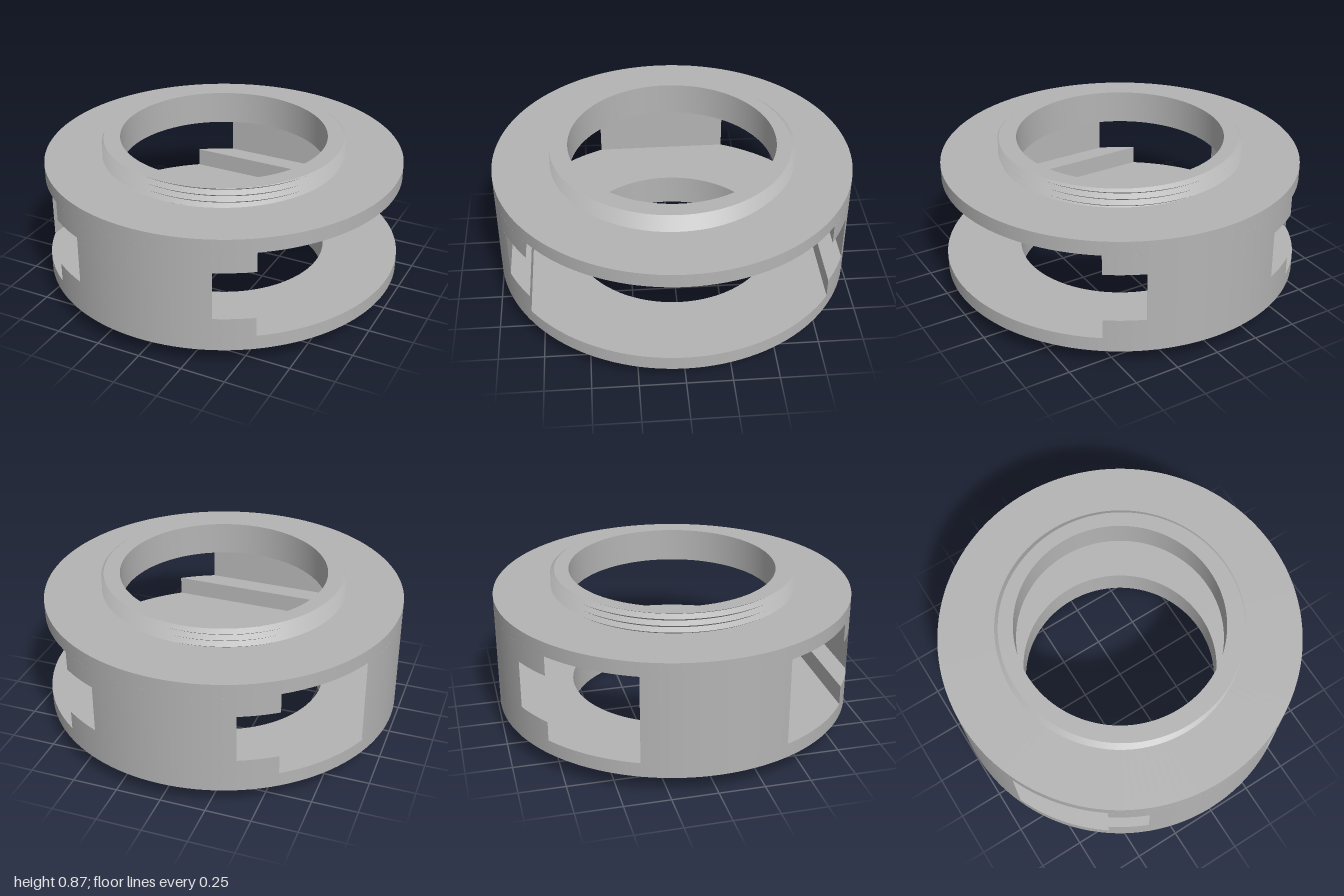
import * as THREE from 'three';
import { toCreasedNormals } from 'three/addons/utils/BufferGeometryUtils.js';

const SEG = 128;
const OUTER = 1, BORE = 0.577, ROOT = 0.653, CREST = 0.68;
const PITCH = 0.037;

// Flange and bore: a revolved profile, smooth around and sharp at the rims
function flange(points) {
  const profile = points.map(([r, y]) => new THREE.Vector2(r, y));
  return toCreasedNormals(new THREE.LatheGeometry(profile, SEG), 0.5);
}

// Circle segment beyond a straight chord, extruded upward, centred on +x
function wallSegment(chord, y0, y1) {
  const a = Math.acos(chord / OUTER);
  const shape = new THREE.Shape();
  shape.absarc(0, 0, OUTER, -a, a, false);
  shape.closePath();
  const geo = new THREE.ExtrudeGeometry(shape, { depth: y1 - y0, bevelEnabled: false, curveSegments: 40 });
  geo.rotateX(-Math.PI / 2).translate(0, y0, 0);
  return toCreasedNormals(geo, 0.5);
}

// Helical V thread between y0 and y1, closed by a flat end ring down to the bore
function thread(y0, y1, crestY, capAtTop) {
  const rows = [];
  for (let k = -10; k <= 4; k++) {
    rows.push((turn) => {
      const y = THREE.MathUtils.clamp(crestY + PITCH * (turn + k / 2), y0, y1);
      const t = (y - crestY) / PITCH - turn;
      const r = ROOT + (CREST - ROOT) * Math.abs(1 - 2 * (t - Math.floor(t)));
      return [r, y];
    });
  }
  if (capAtTop) rows.push(() => [BORE, y1]);
  else rows.unshift(() => [BORE, y0]);

  const pos = [], index = [], n = rows.length;
  for (let i = 0; i <= SEG; i++) {
    const angle = (i / SEG) * Math.PI * 2;
    rows.forEach((row, k) => {
      const [r, y] = row(i / SEG);
      pos.push(r * Math.cos(angle), y, r * Math.sin(angle));
      if (i < SEG && k < n - 1) {
        const a = i * n + k, b = a + n;
        index.push(a, a + 1, b, b, a + 1, b + 1);
      }
    });
  }
  const geo = new THREE.BufferGeometry();
  geo.setAttribute('position', new THREE.Float32BufferAttribute(pos, 3));
  geo.setIndex(index);
  return toCreasedNormals(geo, 0.5);
}

export function createModel() {
  const grey = new THREE.MeshStandardMaterial({ color: 0xb4b4b4 });
  grey.name = 'grey metal';
  const model = new THREE.Group();
  model.name = 'threadedRingHousing';

  const add = (name, geo, turn = 0, parent = model) => {
    const mesh = new THREE.Mesh(geo, grey);
    mesh.name = name;
    mesh.rotation.y = turn;
    parent.add(mesh);
  };

  // Two flanges with the bore running through their collars
  add('lowerFlange', flange([[ROOT, 0.11], [OUTER, 0.11], [OUTER, 0.19], [BORE, 0.19], [BORE, 0]]));
  add('upperFlange', flange([[BORE, 0.87], [BORE, 0.68], [OUTER, 0.68], [OUTER, 0.76], [ROOT, 0.76]]));

  // Threaded collars
  add('lowerThread', thread(0, 0.11, 0.0775, false));
  add('upperThread', thread(0.76, 0.87, 0.863, true));

  // Front and back walls: thick steps above and below a thinner middle
  for (const [side, turn] of [['front', -Math.PI / 2], ['back', Math.PI / 2]]) {
    const wall = new THREE.Group();
    wall.name = side + 'Wall';
    add(side + 'LowerStep', wallSegment(0.81, 0.19, 0.3), turn, wall);
    add(side + 'Middle', wallSegment(0.92, 0.3, 0.57), turn, wall);
    add(side + 'UpperStep', wallSegment(0.81, 0.57, 0.68), turn, wall);
    model.add(wall);
  }

  // Thin wall on the right; the left side stays open
  add('rightWall', wallSegment(0.92, 0.19, 0.68), Math.PI);

  return model;
}
